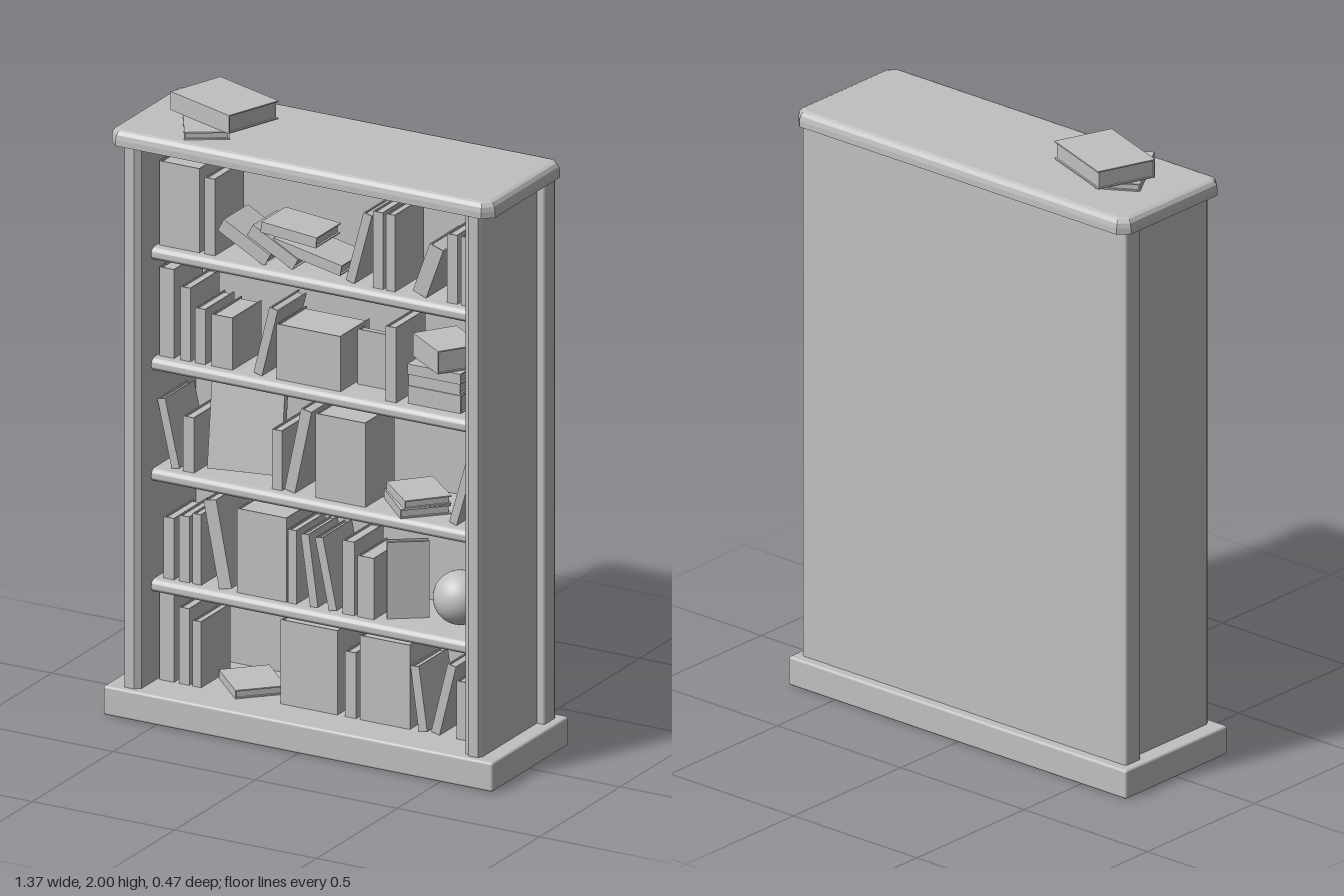
import * as THREE from 'three';
import { toCreasedNormals } from 'three/addons/utils/BufferGeometryUtils.js';
import { RoundedBoxGeometry } from 'three/addons/geometries/RoundedBoxGeometry.js';

const grey = new THREE.MeshStandardMaterial({ color: 0xc0c0c0 });
grey.name = 'plain grey';

function add(parent, name, geometry, x = 0, y = 0, z = 0) {
  const mesh = new THREE.Mesh(geometry, grey);
  mesh.name = name;
  mesh.position.set(x, y, z);
  parent.add(mesh);
  return mesh;
}
const box = (w, h, d) => new THREE.BoxGeometry(w, h, d);
const rad = THREE.MathUtils.degToRad;
const toShape = (points) => new THREE.Shape(points.map(([x, y]) => new THREE.Vector2(x, y)));

// Book about its centre: two boards, a spine on +z and recessed pages
function book(parent, x, y, z, t, h, d, { tilt = 0, yaw = 0, pitch = 0 } = {}) {
  const g = new THREE.Group();
  g.name = 'book';
  const c = 0.004, inset = 0.006;
  for (const s of [-1, 1]) add(g, 'cover', box(c, h, d), s * (t - c) / 2);
  add(g, 'spine', box(t - 2 * c, h, c), 0, 0, (d - c) / 2);
  add(g, 'pages', box(t - 2 * c, h - 2 * inset, d - c - inset), 0, 0, (inset - c) / 2);
  g.rotation.set(rad(pitch), rad(yaw), rad(tilt), 'YXZ');
  g.position.set(x, y, z);
  parent.add(g);
}

// Books resting on their lower edge: centre x, thickness, height, lean
function stand(parent, floor, books) {
  for (const [x, t, h, tilt = 0] of books) {
    const a = Math.abs(rad(tilt));
    book(parent, x, floor + (h * Math.cos(a) + t * Math.sin(a)) / 2, 0.015, t, h, 0.18, { tilt });
  }
}

// Books lying flat on one another: centre x, z, thickness, length, width, turn
function stack(parent, floor, books) {
  let y = floor;
  for (const [x, z, t, h, d, yaw] of books) {
    book(parent, x, y + t / 2, z, t, h, d, { tilt: 90, yaw });
    y += t;
  }
}

function addCase(model) {
  // Plinth
  add(model, 'plinth', new RoundedBoxGeometry(1.37, 0.095, 0.475, 2, 0.008), 0, 0.0475, 0);

  // Cornice with cut corners, a rounded upper edge and a flat underside
  const w = 0.652, d = 0.211, cut = 0.018;
  const plan = toShape([[w, cut - d], [w, d - cut], [w - cut, d], [cut - w, d],
    [-w, d - cut], [-w, cut - d], [cut - w, -d], [w - cut, -d]]);
  const slab = new THREE.ExtrudeGeometry(plan, { depth: 0.02, bevelThickness: 0.03, bevelSize: 0.022, bevelSegments: 3 });
  const p = slab.attributes.position;
  for (let i = 0; i < p.count; i++) p.setZ(i, Math.max(0, p.getZ(i)));
  slab.rotateX(-Math.PI / 2).computeVertexNormals();
  add(model, 'cornice', slab, 0, 1.865, 0);

  // Wide back panel, and narrower side walls with chamfered front edges
  add(model, 'backPanel', new RoundedBoxGeometry(1.314, 1.79, 0.07, 1, 0.008), 0, 0.98, -0.17);
  for (const s of [-1, 1]) {
    const outline = toShape([[0.57, -0.136], [0.63, -0.136], [0.63, 0.2], [0.622, 0.215], [0.588, 0.215], [0.57, 0.2]]
      .map(([x, z]) => [s * x, -z]));
    const wall = new THREE.ExtrudeGeometry(outline, { depth: 1.78, bevelEnabled: false });
    wall.rotateX(-Math.PI / 2);
    add(model, s > 0 ? 'leftWall' : 'rightWall', wall, 0, 0.09, 0);
  }

  // Shelves with a half-round nose
  const r = 0.021, nose = 0.12;
  const section = new THREE.Shape();
  section.moveTo(-0.136, -r);
  section.lineTo(nose, -r);
  section.absarc(nose, 0, r, -Math.PI / 2, Math.PI / 2, false);
  section.lineTo(-0.136, r);
  const raw = new THREE.ExtrudeGeometry(section, { depth: 1.142, bevelEnabled: false, curveSegments: 8 });
  raw.translate(0, 0, -0.571).rotateY(-Math.PI / 2);
  const shelf = toCreasedNormals(raw, 0.6);
  for (let i = 0; i < 4; i++) add(model, 'shelf', shelf, 0, 0.43 + 0.3617 * i - r, 0);
}

function addBottomRow(row, floor) {
  stand(row, floor, [[-0.536, 0.052, 0.305], [-0.475, 0.037, 0.25], [-0.43, 0.031, 0.215],
    [-0.035, 0.2, 0.275], [0.111, 0.038, 0.215], [0.232, 0.175, 0.275],
    [0.351, 0.03, 0.21, 8], [0.438, 0.03, 0.24, -14], [0.499, 0.032, 0.19], [0.538, 0.037, 0.25]]);
  stack(row, floor, [[-0.286, 0.015, 0.028, 0.19, 0.16, -45]]);
}

function addSecondRow(row, floor) {
  stand(row, floor, [[-0.528, 0.037, 0.2], [-0.475, 0.037, 0.215], [-0.43, 0.031, 0.23], [-0.357, 0.045, 0.285, 11],
    [-0.201, 0.174, 0.275], [-0.095, 0.03, 0.24], [-0.034, 0.028, 0.235, 8], [0.024, 0.028, 0.235, 12],
    [0.103, 0.042, 0.24], [0.164, 0.058, 0.2]]);
  book(row, 0.27, floor + 0.125, 0.03, 0.028, 0.25, 0.13, { yaw: -55 });
  add(row, 'ball', new THREE.SphereGeometry(0.085, 32, 20), 0.438, floor + 0.085, 0);
}

function addThirdRow(row, floor) {
  stand(row, floor, [[-0.53, 0.028, 0.225, 13], [-0.459, 0.038, 0.18], [-0.148, 0.036, 0.195],
    [-0.074, 0.037, 0.28, -12], [0.075, 0.176, 0.275], [0.512, 0.027, 0.3, -16]]);
  // wide book tipped towards the back
  book(row, -0.31, floor + 0.145, 0, 0.235, 0.285, 0.035, { pitch: -10, yaw: 12 });
  stack(row, floor, [[0.295, 0.015, 0.03, 0.19, 0.16, -45], [0.3, 0.015, 0.028, 0.18, 0.15, -42]]);
}

function addFourthRow(row, floor) {
  stand(row, floor, [[-0.536, 0.052, 0.29], [-0.47, 0.036, 0.24], [-0.418, 0.036, 0.18], [-0.341, 0.074, 0.17],
    [-0.188, 0.03, 0.23, -14], [-0.037, 0.225, 0.18], [0.253, 0.037, 0.245], [0.538, 0.037, 0.24]]);
  // cover facing forwards
  book(row, 0.16, floor + 0.09, 0, 0.145, 0.18, 0.04);
  stack(row, floor, [[0.397, 0.015, 0.058, 0.186, 0.15, 0], [0.395, 0.012, 0.038, 0.18, 0.15, 0],
    [0.397, 0.018, 0.034, 0.186, 0.15, 0], [0.4, 0.015, 0.075, 0.18, 0.148, -35]]);
}

function addTopRow(row, floor) {
  stand(row, floor, [[-0.491, 0.142, 0.275], [-0.385, 0.037, 0.25], [0.14, 0.03, 0.24, -15], [0.207, 0.035, 0.25],
    [0.251, 0.032, 0.25], [0.383, 0.05, 0.175, -20], [0.468, 0.037, 0.225], [0.517, 0.035, 0.225]]);
  // toppled books overlapping each other
  book(row, -0.267, floor + 0.06, 0.025, 0.045, 0.185, 0.15, { tilt: 62 });
  book(row, -0.172, floor + 0.059, 0.015, 0.042, 0.18, 0.15, { tilt: 62 });
  book(row, -0.055, floor + 0.048, 0.01, 0.035, 0.245, 0.15, { tilt: 79 });
  book(row, -0.113, floor + 0.112, 0.02, 0.035, 0.195, 0.15, { tilt: 85 });
}

export function createModel() {
  const model = new THREE.Group();
  model.name = 'bookcase';
  addCase(model);

  const rows = [addBottomRow, addSecondRow, addThirdRow, addFourthRow, addTopRow];
  rows.forEach((fill, i) => {
    const row = new THREE.Group();
    row.name = 'bookRow';
    fill(row, i === 0 ? 0.095 : 0.43 + 0.3617 * (i - 1));
    model.add(row);
  });

  // Pair of books on the roof
  stack(model, 1.915, [[-0.427, 0.053, 0.025, 0.257, 0.14, -59], [-0.39, 0.003, 0.06, 0.275, 0.2, -20]]);
  return model;
}
